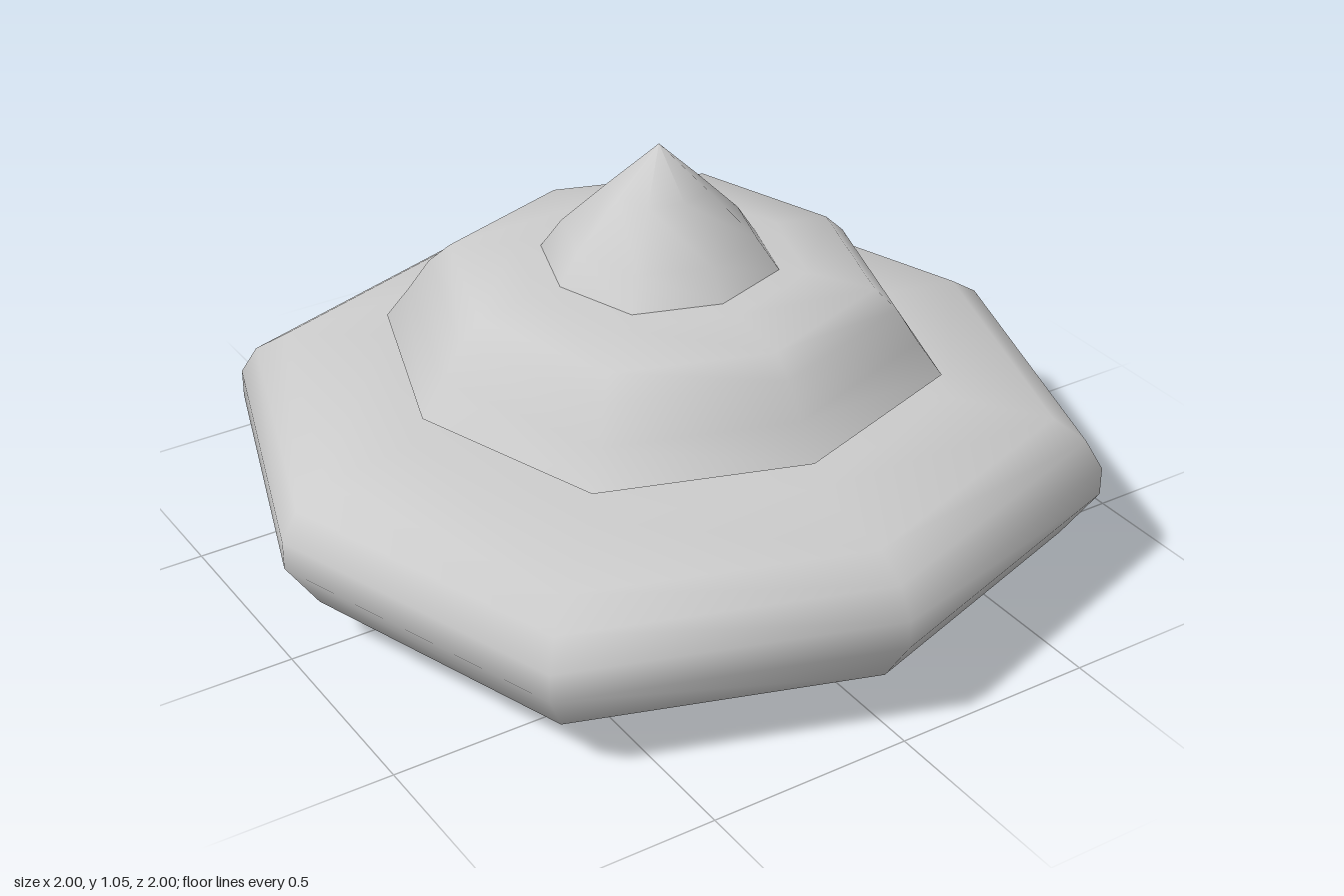
import * as THREE from 'three';
import { toCreasedNormals } from 'three/addons/utils/BufferGeometryUtils.js';

const material = new THREE.MeshStandardMaterial({ color: 0xcccccc });
const DIAGONAL = 1.06; // corners on the diagonals reach slightly further out

// Eight-sided turned tier from a [radius, height] profile, bottom to top
function tier(name, profile) {
  const lathe = new THREE.LatheGeometry(profile.map(([r, y]) => new THREE.Vector2(r, y)), 8);
  const pos = lathe.attributes.position;
  for (let i = 0; i < pos.count; i++) {
    const x = pos.getX(i), z = pos.getZ(i);
    if (Math.abs(x) > 1e-4 && Math.abs(z) > 1e-4) {
      pos.setX(i, x * DIAGONAL);
      pos.setZ(i, z * DIAGONAL);
    }
  }
  const mesh = new THREE.Mesh(toCreasedNormals(lathe, 1.1), material);
  mesh.name = name;
  return mesh;
}

export function createModel() {
  const group = new THREE.Group();
  group.name = 'tieredSwirl';

  // Wide rounded base
  group.add(tier('bottomTier', [
    [0, 0], [0.63, 0.035], [0.92, 0.13], [1, 0.25], [1, 0.32],
    [0.96, 0.39], [0.885, 0.44], [0.65, 0.468], [0.4, 0.475], [0, 0.478],
  ]));

  // Middle tier with a sharp lower rim
  group.add(tier('middleTier', [
    [0, 0.465], [0.4, 0.475], [0.635, 0.525], [0.58, 0.605],
    [0.53, 0.685], [0.48, 0.733], [0.33, 0.757], [0, 0.76],
  ]));

  // Pointed tip
  group.add(tier('tip', [
    [0, 0.75], [0.27, 0.755], [0.22, 0.83], [0.11, 0.942], [0, 1.05],
  ]));

  return group;
}
